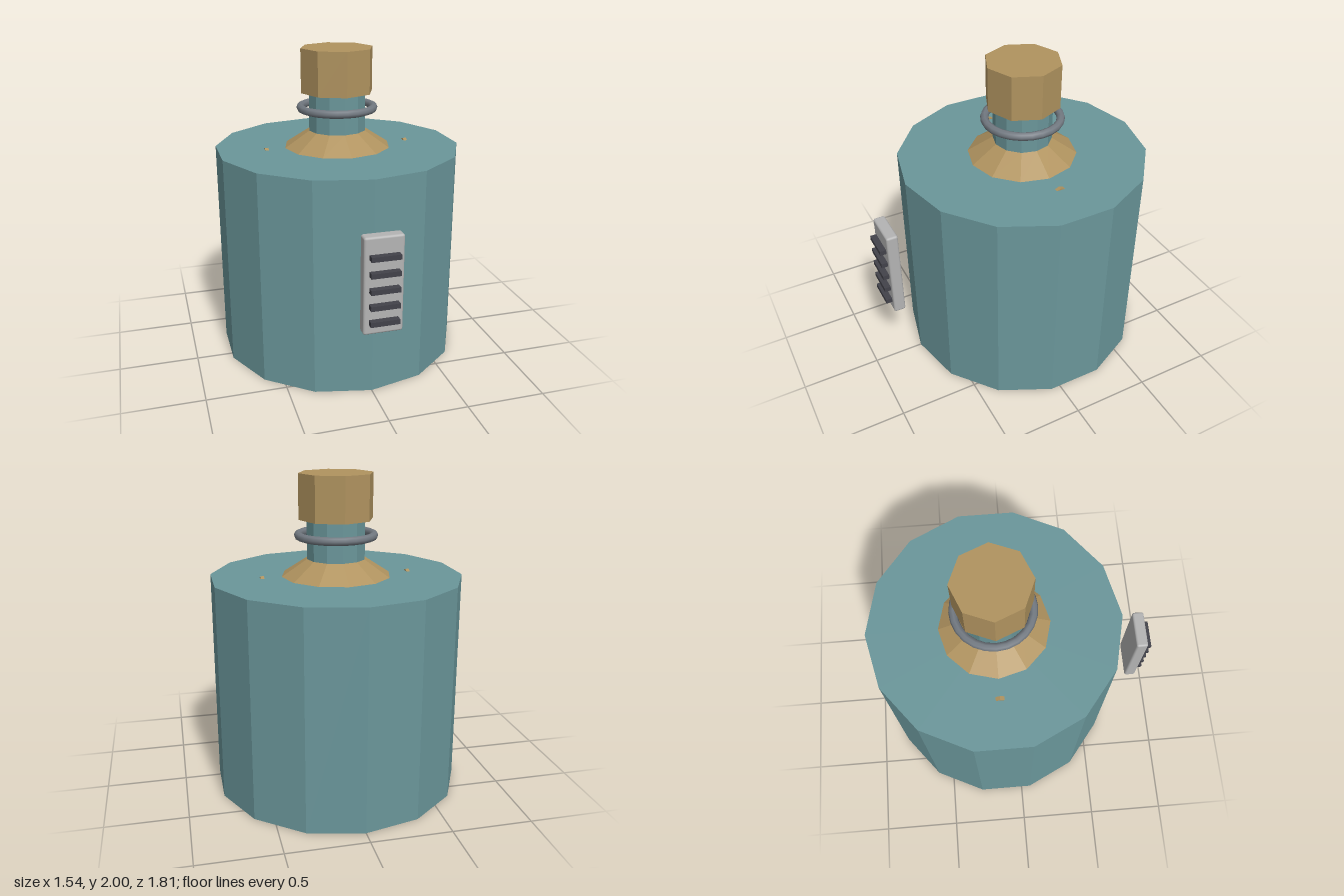
import * as THREE from 'three';
import { RoundedBoxGeometry } from 'three/addons/geometries/RoundedBoxGeometry.js';

const mat = (color, flatShading = true) => new THREE.MeshStandardMaterial({ color, flatShading });

export function createModel() {
  const group = new THREE.Group();
  const teal = mat(0x6a969a), brass = mat(0xb0935f), steel = mat(0x737a82, false);
  const panelGrey = mat(0xb4b4b4, false), dark = mat(0x42424a);
  const axisZ = -0.115;

  const add = (name, geometry, material, x, y, z) => {
    const mesh = new THREE.Mesh(geometry, material);
    mesh.name = name;
    mesh.position.set(x, y, z);
    group.add(mesh);
    return mesh;
  };
  // Upright faceted cylinder between two heights on the vessel's axis
  const drum = (name, rTop, rBottom, y0, y1, sides, material) =>
    add(name, new THREE.CylinderGeometry(rTop, rBottom, y1 - y0, sides), material, 0, (y0 + y1) / 2, axisZ);

  // Vessel, shoulder, neck and stopper
  drum('body', 0.79, 0.79, 0, 1.37, 14, teal);
  drum('shoulder', 0.185, 0.345, 1.37, 1.475, 12, brass);
  drum('neck', 0.185, 0.185, 1.47, 1.73, 12, teal);
  drum('cap', 0.235, 0.235, 1.72, 2, 8, brass);

  // Loose ring round the neck
  const ring = add('neckRing', new THREE.TorusGeometry(0.235, 0.026, 8, 24), steel, 0, 1.62, axisZ);
  ring.rotation.x = Math.PI / 2;

  // Small lug tips just breaking the top of the body
  for (const side of [-1, 1]) {
    const tip = add(side > 0 ? 'leftLug' : 'rightLug',
      new THREE.CylinderGeometry(0.04, 0.04, 0.024, 8), brass, side * 0.467, 1.341, axisZ);
    tip.rotation.z = Math.PI / 2;
  }

  // Front plate with protruding slats
  add('frontPlate', new RoundedBoxGeometry(0.24, 0.6, 0.075, 2, 0.014), panelGrey, 0, 0.803, 0.828);
  for (let i = 0; i < 5; i++) {
    add('slat', new THREE.BoxGeometry(0.176, 0.03, 0.055), dark, 0, 0.585 + i * 0.1, 0.8775);
  }
  return group;
}
